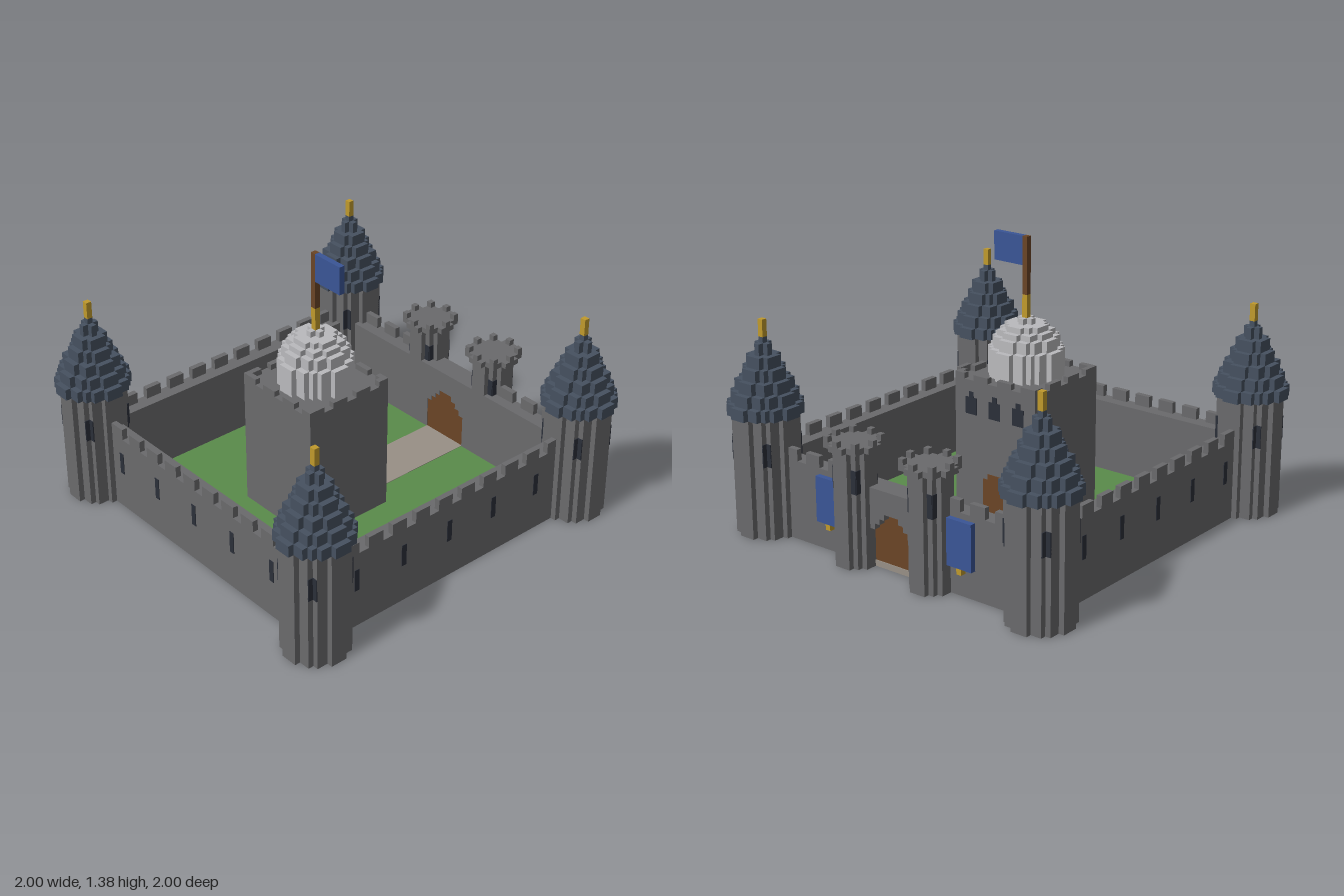
import * as THREE from 'three';
import { mergeGeometries } from 'three/addons/utils/BufferGeometryUtils.js';

const U = 2 / 71; // size of one block
const mat = (name, color) => Object.assign(new THREE.MeshStandardMaterial({ color }), { name });

// Box from min/max corners, in blocks
function box(x0, x1, y0, y1, z0, z1) {
  const g = new THREE.BoxGeometry((x1 - x0) * U, (y1 - y0) * U, (z1 - z0) * U);
  return g.translate((x0 + x1) / 2 * U, (y0 + y1) / 2 * U, (z0 + z1) / 2 * U);
}

// Blocky disc of radius r between two heights: stepped rows merged where equal
function disc(cx, cz, r, y0, y1) {
  const R = (r + 0.25) ** 2, out = [];
  const half = k => Math.floor(Math.sqrt(R - k * k));
  for (let k = -r; k <= r;) {
    let e = k;
    while (e < r && half(e + 1) === half(k)) e++;
    const h = half(k) + 0.5;
    out.push(box(cx - h, cx + h, y0, y1, cz + k - 0.5, cz + e + 0.5));
    k = e + 1;
  }
  return out;
}

const mod = (a, n) => ((a % n) + n) % n;

export function createModel() {
  const stone = mat('stone', 0x6a6a6c), slate = mat('roof slate', 0x465160);
  const pale = mat('pale stone', 0xbababd), gold = mat('gold', 0xc09a2c);
  const blue = mat('banner blue', 0x3a5596), wood = mat('wood', 0x6b4526);
  const dark = mat('window dark', 0x2b2f39), grass = mat('grass', 0x5a8b4b);
  const gravel = mat('path', 0x989086);
  const root = new THREE.Group();
  root.name = 'castle';
  const add = (name, material, geos, parent = root) => {
    const m = new THREE.Mesh(mergeGeometries(geos), material);
    m.name = name;
    parent.add(m);
  };
  const group = name => {
    const g = new THREE.Group();
    g.name = name;
    root.add(g);
    return g;
  };

  // Courtyard
  add('lawn', grass, [box(-26.6, 26.6, 0.1, 1, -26.6, 26.6)]);
  add('path', gravel, [box(-4.5, 4.5, 0.04, 1.1, -29.45, -4)]);

  // Curtain walls; the back one leaves an arched gateway
  const walls = [
    box(-29.5, 29.5, 0, 14, 26.5, 29.5),
    box(26.5, 29.5, 0, 14, -29.5, 29.5),
    box(-29.5, -26.5, 0, 14, -29.5, 29.5),
    box(4.5, 29.5, 0, 14, -29.5, -26.5),
    box(-29.5, -4.5, 0, 14, -29.5, -26.5),
    box(-4.5, 4.5, 10, 14, -29.5, -26.5),
    box(-5, 5, 10, 14, -30.5, -29.5),
  ];
  // Stepped arch shoulders
  for (const s of [-1, 1]) [[3.5, 7], [2.5, 8], [1.5, 9]].forEach(([x, y]) => {
    const a = s * x, b = s * 4.5;
    walls.push(box(Math.min(a, b), Math.max(a, b), y, y + 1, -30.5, -26.5));
  });
  add('curtainWalls', stone, walls);
  add('gateDoor', wood, [box(-4.5, 4.5, 1.1, 10, -29.3, -26.6)]);

  // Battlements, three blocks on and two off
  const merlons = [];
  for (let i = -23; i <= 24; i += 5) {
    const a = i - 0.5, b = i + 2.5;
    merlons.push(box(a, b, 14, 16, 28.5, 29.5));
    if (Math.abs(i + 1) > 4) merlons.push(box(a, b, 14, 16, -29.5, -28.5));
    merlons.push(box(28.5, 29.5, 14, 16, -b, -a), box(-29.5, -28.5, 14, 16, -b, -a));
  }
  add('wallMerlons', stone, merlons);

  // Arrow slits
  const slits = [];
  for (const c of [-21, -11, -1, 9, 19]) {
    slits.push(box(c - 0.5, c + 0.5, 7, 11, 29.4, 29.6));
    for (const s of [-29.5, 29.5]) slits.push(box(s - 0.1, s + 0.1, 7, 11, -c - 0.5, -c + 0.5));
  }
  add('arrowSlits', dark, slits);

  // Dark plates lining the four diagonal notches of a round tower
  const notchWindows = (cx, cz, inner) => {
    const out = [], m = inner + 0.5, p = inner + 0.05;
    for (const sx of [-1, 1]) for (const sz of [-1, 1]) {
      const x = cx + sx * m, z = cz + sz * m, px = cx + sx * p, pz = cz + sz * p;
      out.push(box(x - 0.5, x + 0.5, 13, 17, pz - 0.1, pz + 0.1));
      out.push(box(px - 0.1, px + 0.1, 13, 17, z - 0.5, z + 0.5));
    }
    return out;
  };

  // Corner towers with stepped conical roofs
  for (const x of [-29, 29]) for (const z of [-29, 29]) {
    const t = group('cornerTower');
    add('towerShaft', stone, disc(x, z, 5, 0, 21), t);
    const roof = [];
    for (let r = 6; r >= 1; r--) roof.push(...disc(x, z, r, 33 - 2 * r, 35 - 2 * r));
    roof.push(box(x - 0.5, x + 0.5, 33, 34, z - 0.5, z + 0.5));
    add('towerRoof', slate, roof, t);
    add('towerFinial', gold, [box(x - 0.5, x + 0.5, 34, 37, z - 0.5, z + 0.5)], t);
    add('towerWindows', dark, notchWindows(x, z, 3.5), t);
  }

  // Gate towers with flared, notched tops, and a banner beside each
  for (const s of [-1, 1]) {
    const t = group('gateTower'), x = 8 * s, z = -30;
    const crown = [];
    for (let i = -4; i <= 4; i++) for (let k = -4; k <= 4; k++) {
      const d = i * i + k * k;
      if (d > 18.1 || d <= 10.6) continue;
      const sector = Math.round(Math.atan2(k, i) / (Math.PI / 8));
      if (mod(sector, 2) === 0) crown.push(box(x + i - 0.5, x + i + 0.5, 21, 22, z + k - 0.5, z + k + 0.5));
    }
    add('gateTowerShaft', stone, disc(x, z, 3, 0, 20), t);
    add('gateTowerCrown', stone, [...disc(x, z, 4, 20, 21), ...crown], t);
    const slots = [];
    for (const i of [-2, 2]) for (const f of [-2.5, 2.5]) {
      slots.push(box(x + i - 0.5, x + i + 0.5, 13, 17, z + f - 0.1, z + f + 0.1));
      slots.push(box(x + f - 0.1, x + f + 0.1, 13, 17, z + i - 0.5, z + i + 0.5));
    }
    add('gateTowerWindows', dark, slots, t);
    const c = 14 * s;
    add('wallBanner', blue, [box(c - 2.5, c + 2.5, 5, 13, -30.5, -29.5)], t);
    add('bannerTassel', gold, [box(c - 0.5, c + 0.5, 4, 5, -30.5, -29.5)], t);
  }

  // Keep
  const keep = group('keep');
  const body = [box(-8.5, 8.5, 0, 25, -4.5, 12.5)];
  for (let i = -8; i <= 8; i++) {
    if (mod(i, 5) < 2) continue;
    for (const z of [-4, 12]) body.push(box(i - 0.5, i + 0.5, 25, 26, z - 0.5, z + 0.5));
    if (Math.abs(i) < 8) for (const x of [-8, 8]) body.push(box(x - 0.5, x + 0.5, 25, 26, 3.5 - i, 4.5 - i));
  }
  add('keepBody', stone, body, keep);
  add('keepDoor', wood, [box(-2.5, 2.5, 1.1, 8, -4.6, -4.4), box(-1.5, 1.5, 8, 9, -4.6, -4.4)], keep);
  add('keepWindows', dark, [-5, 0, 5].flatMap(x => [
    box(x - 1.2, x + 1.2, 19, 22, -4.6, -4.4), box(x - 0.5, x + 0.5, 22, 23, -4.6, -4.4)]), keep);

  // Stepped dome: radius, bottom, top
  add('dome', pale, [[6, 25, 30], [5, 30, 32], [4, 32, 33], [3, 33, 34], [1, 34, 35]]
    .flatMap(([r, a, b]) => disc(0, 4, r, a, b)), keep);

  // Flag
  add('flagBase', gold, [box(-0.5, 0.5, 35, 39, 3.5, 4.5)], keep);
  add('flagPole', wood, [box(-0.5, 0.5, 39, 49, 3.5, 4.5)], keep);
  add('flag', blue, [box(0.5, 6.5, 44, 49, 3.5, 4.5)], keep);

  return root;
}
